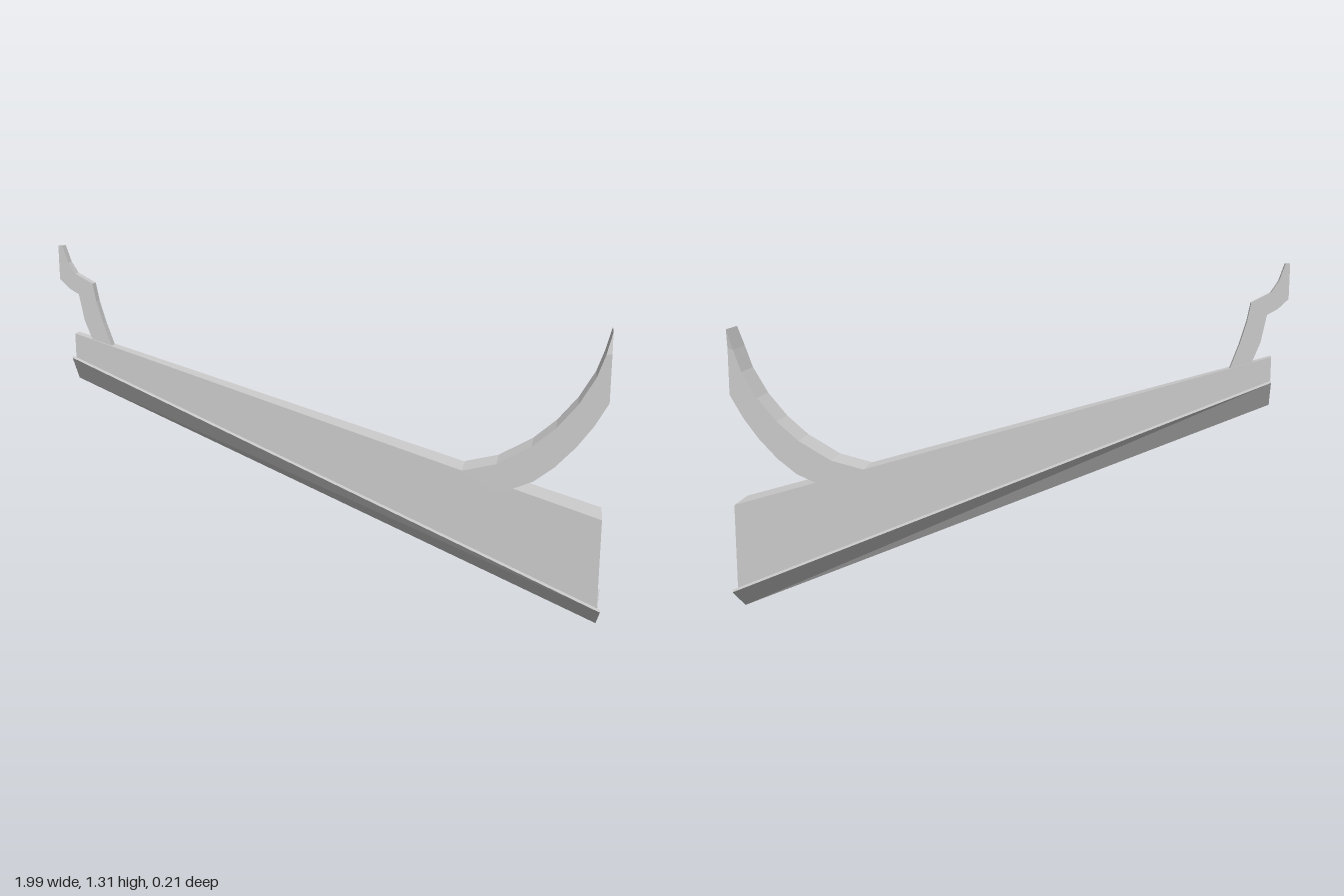
import * as THREE from 'three';

const material = new THREE.MeshStandardMaterial({ color: 0xcccccc, flatShading: true, side: THREE.DoubleSide });

// Half cross-section of the beam as [halfWidth, y], keel to top, then mirrored; lipX pushes the lip along x
function section(x, lipX, half) {
  const right = half.map(([w, y], i) => new THREE.Vector3(i === 1 || i === 2 ? lipX : x, y, -w));
  const left = right.slice(1).reverse().map((p) => new THREE.Vector3(p.x, p.y, -p.z));
  return [...right, ...left];
}

// Skin two matching sections and cap both ends
function loft(front, rear) {
  const pos = [];
  const tri = (...pts) => pts.forEach((p) => pos.push(p.x, p.y, p.z));
  front.forEach((a, i) => {
    const j = (i + 1) % front.length;
    tri(a, rear[i], rear[j]);
    tri(a, rear[j], front[j]);
  });
  const cap = (pts, flip) => {
    const flat = pts.map((p) => new THREE.Vector2(-p.z, p.y));
    for (const [a, b, c] of THREE.ShapeUtils.triangulateShape(flat, [])) {
      if (flip) tri(pts[a], pts[c], pts[b]);
      else tri(pts[a], pts[b], pts[c]);
    }
  };
  cap(front, false);
  cap(rear, true);
  const geo = new THREE.BufferGeometry();
  geo.setAttribute('position', new THREE.Float32BufferAttribute(pos, 3));
  geo.computeVertexNormals();
  return geo;
}

// Side outline extruded evenly about z = 0
function plate(points, halfWidth) {
  const shape = new THREE.Shape(points.map(([x, y]) => new THREE.Vector2(x, y)));
  const geo = new THREE.ExtrudeGeometry(shape, { depth: 2 * halfWidth, bevelEnabled: false });
  return geo.translate(0, 0, -halfWidth);
}

export function createModel() {
  const model = new THREE.Group();
  const add = (name, geo) => {
    const mesh = new THREE.Mesh(geo, material);
    mesh.name = name;
    model.add(mesh);
  };

  // Tapered beam with a V keel and a small lip along each side
  const front = section(0.98, 0.99, [[0, 0], [0.107, 0.085], [0.103, 0.094], [0.074, 0.08], [0.074, 0.413]]);
  const rear = section(-0.95, -0.95, [[0, 0.82], [0.055, 0.905], [0.051, 0.913], [0.02, 0.9], [0.02, 0.99]]);
  add('beam', loft(front, rear));

  // Curved horn rising toward the wide end, its tip slightly skewed
  const horn = plate([
    [0.49, 0.56], [0.6, 0.49], [0.67, 0.505], [0.74, 0.535], [0.81, 0.59], [0.88, 0.665], [0.935, 0.74],
    [0.983, 0.825], [0.983, 0.995], [0.983, 1.065], [0.963, 0.99], [0.935, 0.91], [0.88, 0.815],
    [0.81, 0.73], [0.73, 0.66], [0.61, 0.59],
  ], 0.065);
  const p = horn.attributes.position;
  for (let i = 0; i < p.count; i++) {
    if (p.getY(i) > 1.03) p.setZ(i, p.getZ(i) * 0.92 - 0.014);
  }
  horn.computeVertexNormals();
  add('horn', horn);

  // Thin stepped fin at the narrow end
  add('fin', plate([
    [-0.84, 0.93], [-0.81, 0.945], [-0.84, 1.03], [-0.863, 1.11], [-0.875, 1.175], [-0.94, 1.21],
    [-0.965, 1.25], [-0.985, 1.31], [-1, 1.31], [-1, 1.19], [-0.965, 1.155], [-0.93, 1.135],
    [-0.912, 1.04], [-0.885, 0.97], [-0.88, 0.94],
  ], 0.016));

  return model;
}
